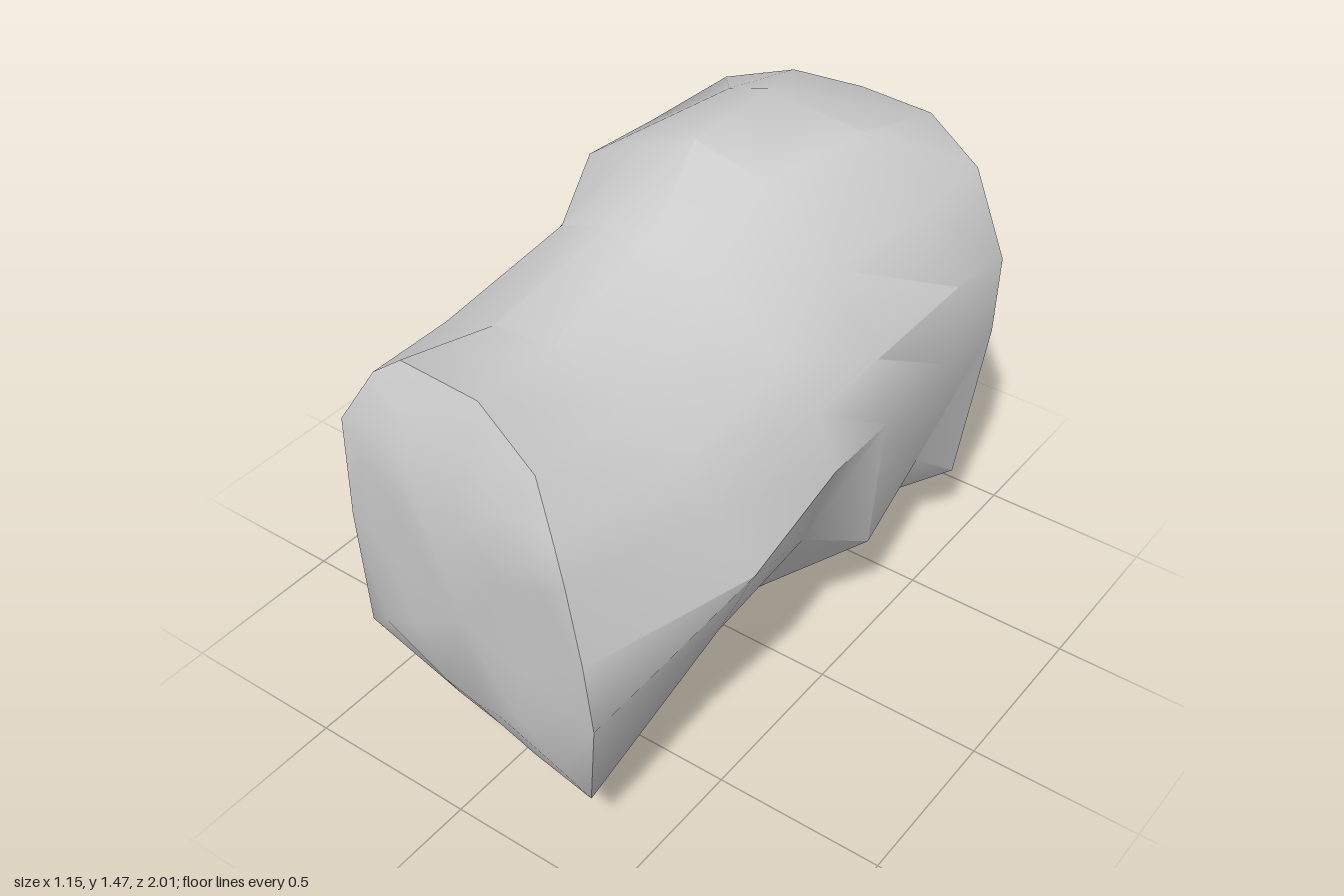
import * as THREE from 'three';
import { toCreasedNormals } from 'three/addons/utils/BufferGeometryUtils.js';

// Cross-sections as [x, y] outlines, clockwise from the top when seen from the front
const frontRim = [[0, 1.27], [.23, 1.2], [.33, 1.1], [.4, 1.02], [.45, .8], [.48, .61], [.39, .24],
  [.2, .1], [0, .02], [-.24, .02], [-.41, .37], [-.42, .75], [-.43, 1.05], [-.36, 1.19], [-.28, 1.25]];
const shoulder = [[-.05, 1.2], [.2, 1.13], [.36, 1.03], [.46, .93], [.57, .77], [.46, .52], [.3, .27],
  [.13, .1], [0, .08], [-.25, .08], [-.49, .43], [-.53, .75], [-.49, .97], [-.42, 1.13], [-.25, 1.19]];
const neck = [[-.05, 1.32], [.15, 1.25], [.35, 1.1], [.48, .98], [.54, .82], [.45, .54], [.28, .26],
  [.12, .09], [-.05, .06], [-.27, .1], [-.52, .5], [-.55, .8], [-.49, 1.05], [-.36, 1.24], [-.2, 1.3]];
const humpFront = [[-.1, 1.48], [.12, 1.43], [.33, 1.24], [.5, 1.02], [.54, .82], [.51, .39], [.32, .2],
  [.13, .05], [-.11, .01], [-.29, .09], [-.54, .52], [-.57, .84], [-.53, 1.1], [-.46, 1.31], [-.28, 1.4]];
const humpBack = [[-.1, 1.48], [.21, 1.45], [.43, 1.28], [.54, 1.08], [.54, .82], [.46, .44], [.31, .22],
  [.14, .04], [-.12, .01], [-.29, .12], [-.54, .53], [-.58, .86], [-.55, 1.11], [-.5, 1.25], [-.23, 1.44]];
const backRim = [[-.08, 1.29], [.2, 1.33], [.42, 1.28], [.56, 1.07], [.55, .82], [.49, .3], [.31, .16],
  [.14, .04], [-.11, .03], [-.31, .09], [-.53, .62], [-.57, .86], [-.55, 1.08], [-.48, 1.25], [-.28, 1.31]];

// Broken end faces: a slanted, rounded-under front and a back made of a few broad planes
const frontZ = (x, y) => .935 + .15 * x - .5 * Math.max(0, y - 1.03) - 1.1 * Math.max(0, .5 - y) ** 2;
const backZ = (x, y) => Math.max(
  -.785 + .26 * x - .1625 * y,
  -1.02 + .5 * x,
  -1.026 - .32 * x,
  -.735 - .27 * y,
  -.784 - .31 * x - .271 * y);

// One ring of points at depth z (a function), shrunk towards (cx, cy) by s
const ring = (outline, z, s = 1, cx = 0, cy = .65) => outline.map(([px, py]) => {
  const x = cx + (px - cx) * s, y = cy + (py - cy) * s;
  return new THREE.Vector3(x, y, z(x, y));
});

// Skin neighbouring rings, splitting each quad along its shorter diagonal
function loft(rings) {
  const points = [], n = rings[0].length;
  for (let i = 0; i < rings.length - 1; i++) {
    for (let j = 0; j < n; j++) {
      const k = (j + 1) % n;
      const a = rings[i][j], b = rings[i][k], c = rings[i + 1][k], d = rings[i + 1][j];
      if (a.equals(b)) points.push(a, c, d);
      else if (c.equals(d)) points.push(a, b, c);
      else if (a.distanceTo(c) < b.distanceTo(d)) points.push(a, b, c, a, c, d);
      else points.push(a, b, d, b, c, d);
    }
  }
  return new THREE.BufferGeometry().setFromPoints(points);
}

export function createModel() {
  const frontFace = [0, .5, .8, 1].map(s => ring(frontRim, frontZ, s));
  const body = [[shoulder, .47], [neck, .06], [humpFront, -.19], [humpBack, -.53]]
    .map(([outline, z]) => ring(outline, () => z));
  const backFace = [1, .8, .5, 0].map(s => ring(backRim, backZ, s, -.08, .75));

  const boulder = new THREE.Mesh(
    toCreasedNormals(loft([...frontFace, ...body, ...backFace]), .65),
    new THREE.MeshStandardMaterial({ color: 0xcccccc }));
  boulder.name = 'boulder';
  const group = new THREE.Group();
  group.name = 'rock';
  group.add(boulder);
  return group;
}
